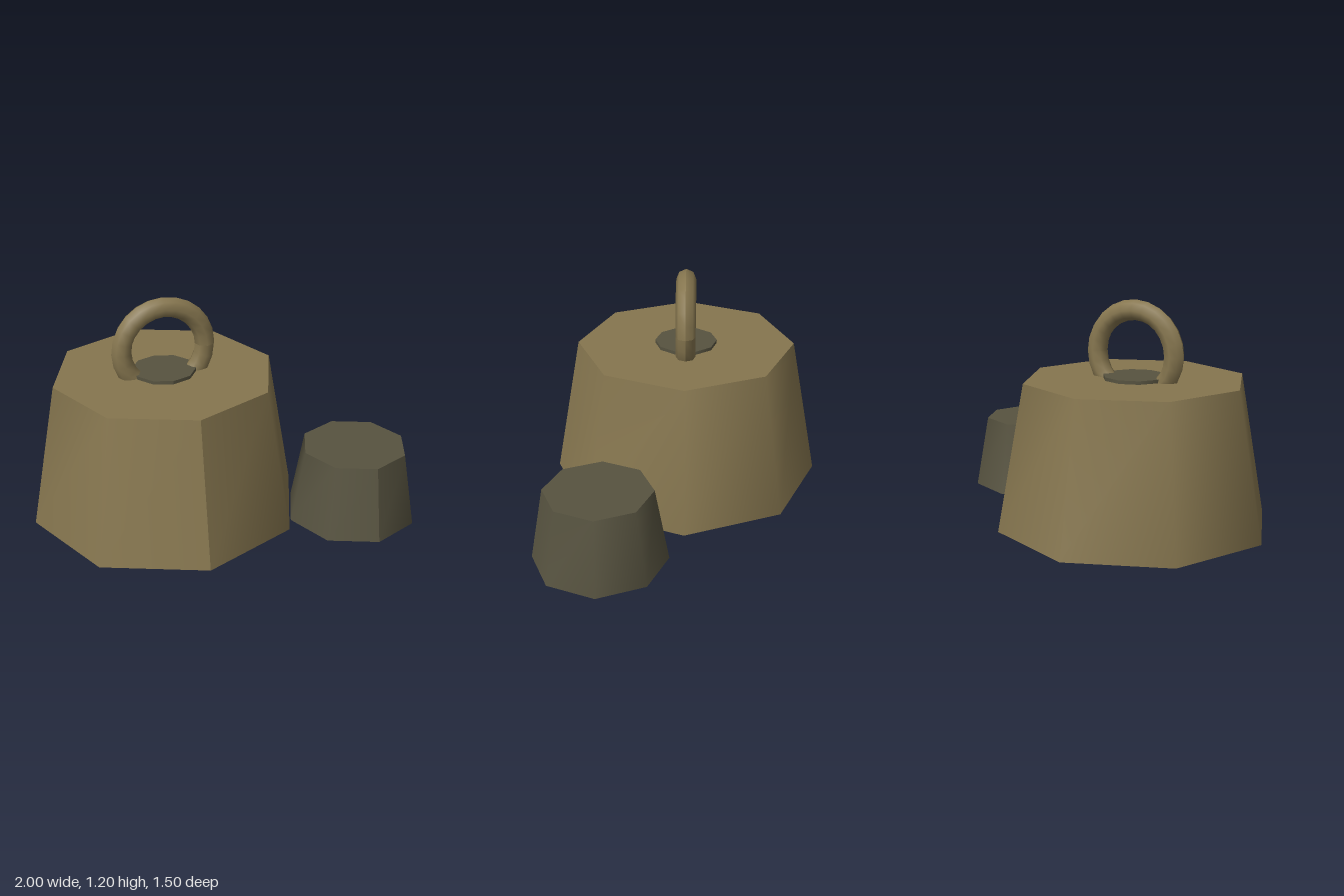
import * as THREE from 'three';

export function createModel() {
  const model = new THREE.Group();
  const brass = new THREE.MeshStandardMaterial({ color: 0x86764f });
  brass.name = 'aged brass';
  const iron = new THREE.MeshStandardMaterial({ color: 0x575340 });
  iron.name = 'dark iron';

  function add(name, geometry, material, x, y, z) {
    geometry.computeVertexNormals(); // smooth sides with a visible seam at the join
    const mesh = new THREE.Mesh(geometry, material);
    mesh.name = name;
    mesh.position.set(x, y, z);
    model.add(mesh);
  }

  // Tapered drum standing between two heights
  function drum(name, material, rTop, rBottom, sides, x, y0, y1, z) {
    const geometry = new THREE.CylinderGeometry(rTop, rBottom, y1 - y0, sides);
    add(name, geometry, material, x, (y0 + y1) / 2, z);
  }

  const x = -0.27, z = -0.02;
  drum('largeWeight', brass, 0.59, 0.73, 8, x, 0.01, 0.785, z);
  drum('ringPlate', iron, 0.168, 0.168, 10, x, 0.765, 0.803, z);
  drum('smallWeight', iron, 0.28, 0.35, 8, 0.645, 0, 0.398, 0.4);

  // Lifting ring, its lower part sunk into the large weight
  add('liftingRing', new THREE.TorusGeometry(0.225, 0.0535, 8, 24), brass, x, 0.918, z);

  return model;
}
